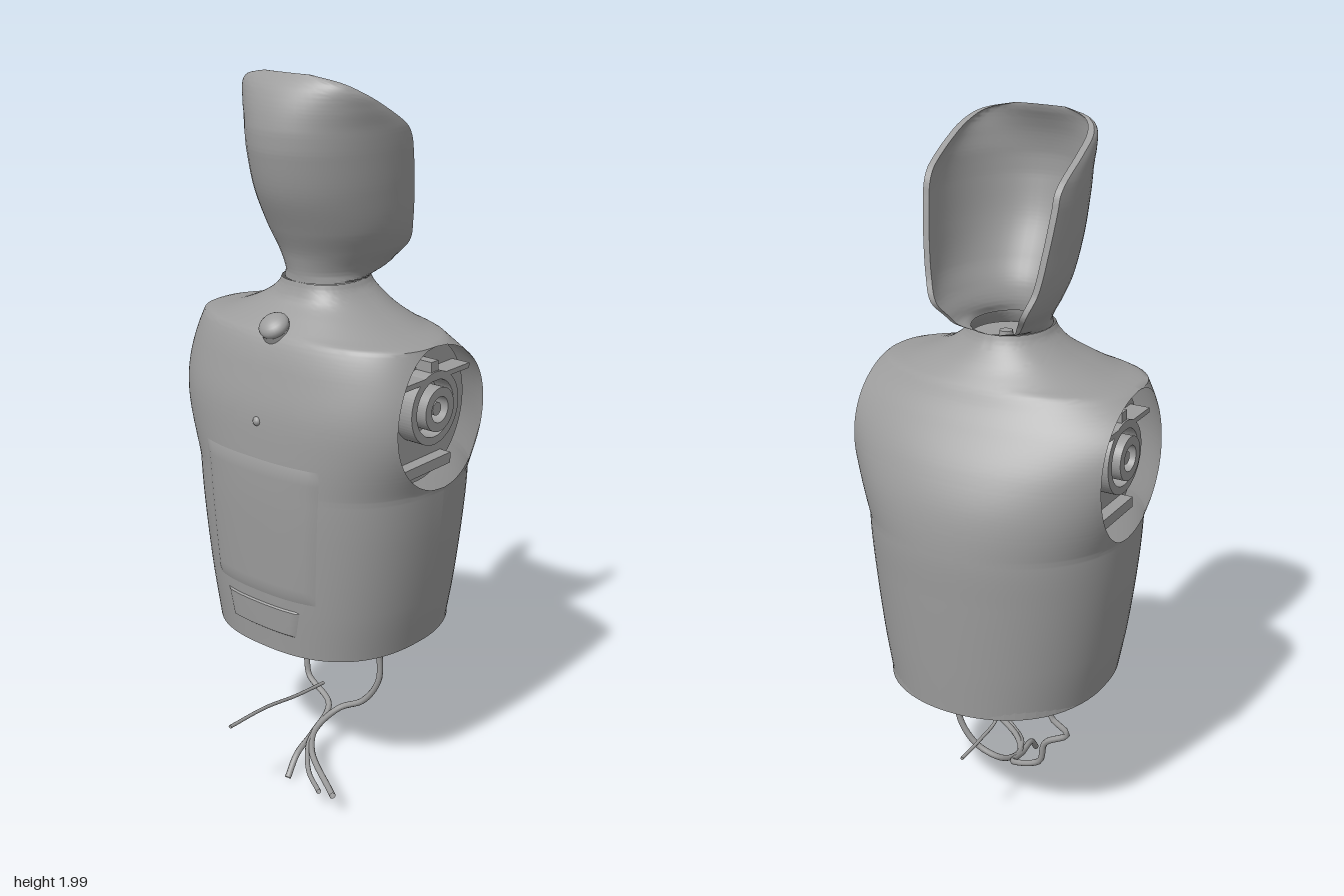
import * as THREE from 'three';
import { toCreasedNormals } from 'three/addons/utils/BufferGeometryUtils.js';

const shellGrey = new THREE.MeshStandardMaterial({ color: 0x9c9c9c, side: THREE.DoubleSide });
shellGrey.name = 'shellGrey';

// Smooth interpolation through a list of [y, ...values] rows
function rowAt(rows, y) {
  let i = 0;
  while (i < rows.length - 2 && y > rows[i + 1][0]) i++;
  const p1 = rows[i], p2 = rows[i + 1];
  const p0 = rows[Math.max(i - 1, 0)], p3 = rows[Math.min(i + 2, rows.length - 1)];
  const d = p2[0] - p1[0], t = (y - p1[0]) / d;
  return p1.map((_, k) => {
    const m1 = (p2[k] - p0[k]) / (p2[0] - p0[0]) * d;
    const m2 = (p3[k] - p1[k]) / (p3[0] - p1[0]) * d;
    const t2 = t * t, t3 = t2 * t;
    return (2 * t3 - 3 * t2 + 1) * p1[k] + (t3 - 2 * t2 + t) * m1 + (3 * t2 - 2 * t3) * p2[k] + (t3 - t2) * m2;
  });
}

// Surface from a grid rule: point(u, v) with u, v in 0..1
function surface(nu, nv, point, crease = 0.7) {
  const g = new THREE.PlaneGeometry(1, 1, nu, nv);
  const p = g.attributes.position;
  for (let j = 0, k = 0; j <= nv; j++) {
    for (let i = 0; i <= nu; i++, k++) p.setXYZ(k, ...point(i / nu, j / nv));
  }
  return toCreasedNormals(g, crease);
}

// Torso rows: y, back x, front x, half depth
const TORSO = [
  [0.46, -0.25, 0.37, 0.31], [0.6, -0.26, 0.378, 0.336], [0.8, -0.27, 0.387, 0.362],
  [0.935, -0.274, 0.39, 0.372], [1.05, -0.271, 0.375, 0.372], [1.15, -0.262, 0.335, 0.372],
  [1.25, -0.238, 0.272, 0.372], [1.3, -0.222, 0.238, 0.372], [1.335, -0.205, 0.217, 0.372],
  [1.35, -0.19, 0.205, 0.295], [1.38, -0.155, 0.178, 0.215],
  [1.41, -0.12, 0.158, 0.16], [1.44, -0.105, 0.142, 0.122], [1.46, -0.1, 0.135, 0.11],
];
const ARM_CUT = 0.372;
const HOLE = { x: 0.04, y: 1.135, w: 0.183, h: 0.2 };
const FRONT_POWER = 2.1, BACK_POWER = 2.5;

// Centre, reach and half depth of one side of the torso at a height;
// beside the arm holes the depth grows so that the cut leaves an oval opening
function torsoRow(y, side) {
  const [, back, front, h] = rowAt(TORSO, y);
  const c = (back + front) / 2, a = (front - back) / 2;
  const n = side > 0 ? FRONT_POWER : BACK_POWER;
  const s = Math.sqrt(Math.max(0, 1 - ((y - HOLE.y) / HOLE.h) ** 2));
  if (s === 0) return { c, a, n, h };
  const reach = Math.max(0, side * (HOLE.x - c) * s + HOLE.w * s) / a;
  return { c, a, n, h: ARM_CUT / Math.pow(1 - Math.pow(reach, n), 1 / n) };
}

function torsoX(y, z, side) {
  const { c, a, n, h } = torsoRow(y, side);
  const r = Math.min(Math.abs(z) / h, 1);
  return c + side * a * Math.pow(1 - Math.pow(r, n), 1 / n);
}

// Front or back half of the torso; the halves part at the arm holes
function torsoHalf(side) {
  return surface(44, 200, (u, v) => {
    const y = 0.46 + v;
    const z = -Math.min(torsoRow(y, side).h, ARM_CUT) * Math.cos(u * Math.PI);
    return [torsoX(y, z, side), y, z];
  }, 0.9);
}

// Head rows: y, back x, x of the face opening, half width, opening angle, wall thickness
const HEAD = [
  [1.46, -0.1, 0.135, 0.11, 3.14, 0.01], [1.475, -0.1, 0.148, 0.116, 2.3, 0.012],
  [1.5, -0.104, 0.165, 0.13, 2.1, 0.016], [1.54, -0.115, 0.19, 0.157, 2.05, 0.019],
  [1.6, -0.143, 0.172, 0.18, 2.0, 0.019], [1.7, -0.188, 0.152, 0.195, 1.95, 0.019],
  [1.8, -0.21, 0.13, 0.204, 1.9, 0.019], [1.84, -0.212, 0.118, 0.206, 1.9, 0.019],
  [1.87, -0.21, 0.09, 0.206, 1.85, 0.019], [1.92, -0.197, 0.005, 0.202, 1.75, 0.019],
  [1.96, -0.178, -0.07, 0.188, 1.62, 0.018], [1.985, -0.158, -0.112, 0.15, 1.57, 0.012],
  [2.0, -0.143, -0.137, 0.075, 1.57, 0.002],
];

// Hollow head, open at the face and crown: outer wall, rim, inner wall
function headShell() {
  const half = 30;
  return surface(2 * half + 2, 100, (u, v) => {
    const y = 1.46 + 0.54 * v;
    const [, back, cut, h, angle, wall] = rowAt(HEAD, y);
    const k = Math.round(u * (2 * half + 2));
    const inner = k > half && k < 2 * half + 2;
    const s = k === 2 * half + 2 ? -1 : inner ? 1 - 2 * (k - half - 1) / half : -1 + 2 * k / half;
    const inset = inner ? wall : 0, t = s * angle;
    const a = (cut - back - inset) / (1 - Math.cos(angle));
    return [back + inset + a * (1 - Math.cos(t)), y, (h - inset) * Math.sin(t)];
  });
}

// Rounded outline in the plane
function outline(cx, cy, a, b, power = 2) {
  const pts = [];
  for (let i = 0; i < 64; i++) {
    const t = i / 64 * Math.PI * 2, c = Math.cos(t), s = Math.sin(t);
    pts.push(new THREE.Vector2(
      cx + a * Math.sign(c) * Math.pow(Math.abs(c), 2 / power),
      cy + b * Math.sign(s) * Math.pow(Math.abs(s), 2 / power)));
  }
  return pts;
}

function plate(points, depth, hole) {
  const s = new THREE.Shape(points);
  if (hole) s.holes.push(new THREE.Path(hole));
  return new THREE.ExtrudeGeometry(s, { depth, bevelEnabled: false });
}

export function createModel() {
  const model = new THREE.Group();
  const add = (name, geometry, parent = model) => {
    const m = new THREE.Mesh(geometry, shellGrey);
    m.name = name;
    parent.add(m);
    return m;
  };

  add('chest', torsoHalf(1));
  add('back', torsoHalf(-1));
  add('head', headShell());
  add('neckFloor', new THREE.CylinderGeometry(0.105, 0.105, 0.01, 40)).position.set(0.022, 1.425, 0);
  add('neckScrew', new THREE.CylinderGeometry(0.018, 0.022, 0.02, 8)).position.set(0.045, 1.437, 0);

  // Thin cover plates on the back
  const backPlate = (name, y0, y1, w) => add(name, surface(24, 20, (u, v) => {
    const edge = u === 0 || u === 1 || v === 0 || v === 1;
    const y = y0 + (y1 - y0) * v;
    const z = (u * 2 - 1) * w * (0.88 + 0.12 * v);
    return [torsoX(y, z, -1) - (edge ? 0 : 0.005), y, z];
  }));
  backPlate('backHatch', 0.63, 1.02, 0.2);
  backPlate('lowerHatch', 0.52, 0.6, 0.13);

  // Knob on the upper back
  const knob = new THREE.Group();
  knob.name = 'backKnob';
  knob.position.set(-0.175, 1.335, 0);
  knob.rotation.z = 0.6;
  add('knobStem', new THREE.CylinderGeometry(0.038, 0.048, 0.06, 24), knob);
  const cap = add('knobCap', new THREE.SphereGeometry(0.042, 24, 12), knob);
  cap.position.y = 0.034;
  cap.scale.y = 0.6;
  model.add(knob);
  add('backButton', new THREE.SphereGeometry(0.013, 12, 8)).position.set(-0.262, 1.12, 0);

  // Recessed arm sockets, mirrored
  for (const side of [1, -1]) {
    const socket = new THREE.Group();
    socket.name = side > 0 ? 'leftSocket' : 'rightSocket';
    socket.scale.z = side;
    add('socketWall', plate(outline(0.04, 1.135, 0.195, 0.198), 0.01), socket).position.z = 0.285;
    add('socketShelf', new THREE.BoxGeometry(0.29, 0.014, 0.06), socket).position.set(0.04, 1.238, 0.32);
    add('socketLedge', new THREE.BoxGeometry(0.2, 0.03, 0.04), socket).position.set(0.04, 0.985, 0.31);
    add('socketRing', plate(outline(0.04, 1.155, 0.1, 0.1), 0.055, outline(0.04, 1.155, 0.078, 0.078)), socket).position.z = 0.295;
    add('socketHub', plate(outline(0.04, 1.155, 0.06, 0.06), 0.07, outline(0.04, 1.155, 0.035, 0.035)), socket).position.z = 0.295;
    add('socketPin', plate(outline(0.04, 1.155, 0.018, 0.018), 0.06), socket).position.z = 0.295;
    add('socketTab', new THREE.BoxGeometry(0.03, 0.04, 0.05), socket).position.set(0.04, 1.262, 0.32);
    model.add(socket);
  }

  // Underside: rim, recessed floor with blocks, and the central mount
  const rim = add('baseRim', plate(outline(0.06, 0, 0.308, 0.308, 2.2), 0.03, outline(0.06, 0, 0.287, 0.287, 2.2)));
  rim.rotation.x = Math.PI / 2;
  rim.position.y = 0.49;
  const floor = add('baseFloor', plate(outline(0.06, 0, 0.305, 0.305, 2.2), 0.01));
  floor.rotation.x = Math.PI / 2;
  floor.position.y = 0.56;
  for (let i = 0; i < 8; i++) {
    const a = (i + 0.5) / 8 * Math.PI * 2;
    const block = add('baseBlock', new THREE.BoxGeometry(0.1, 0.05, 0.06 + 0.03 * (i % 2)));
    block.position.set(0.06 + 0.2 * Math.cos(a), 0.53, 0.2 * Math.sin(a));
    block.rotation.y = -a;
  }
  const mountProfile = [[0.05, 0.55], [0.085, 0.55], [0.085, 0.45], [0.105, 0.45], [0.105, 0.4], [0.07, 0.4], [0.07, 0.43], [0, 0.43]];
  add('centralMount', toCreasedNormals(new THREE.LatheGeometry(mountProfile.map(p => new THREE.Vector2(...p)), 40), 0.5)).position.x = 0.06;
  add('mountHub', new THREE.CylinderGeometry(0.035, 0.035, 0.04, 24)).position.set(0.06, 0.42, 0);
  for (const z of [-0.09, 0.09]) add('mountTab', new THREE.BoxGeometry(0.07, 0.05, 0.025)).position.set(0.1, 0.4, z);

  // Loose cables
  const cable = (name, r, pts) => add(name, new THREE.TubeGeometry(
    new THREE.CatmullRomCurve3(pts.map(p => new THREE.Vector3(...p))), 60, r, 8));
  cable('leftCable', 0.009, [[0.04, 0.52, 0.23], [0.045, 0.43, 0.23], [0.06, 0.4, 0.2], [0.09, 0.36, 0.14], [0.095, 0.25, 0.13],
    [0.085, 0.17, 0.08], [0.06, 0.13, 0.01], [-0.03, 0.1, 0], [-0.12, 0.09, 0.06], [-0.25, 0.083, 0.25]]);
  cable('rightCable', 0.009, [[0.04, 0.52, -0.12], [0.045, 0.44, -0.13], [0.07, 0.41, -0.21], [0.095, 0.35, -0.17], [0.09, 0.3, -0.22],
    [0.09, 0.25, -0.15], [0.085, 0.18, -0.13], [0.06, 0.13, -0.03], [-0.05, 0.09, 0], [-0.14, 0.07, 0.02], [-0.19, 0.02, 0.03]]);
  cable('sideCable', 0.007, [[-0.03, 0.1, 0], [-0.1, 0.092, 0.03], [-0.18, 0.07, 0.1], [-0.25, 0.075, 0.2]]);
  cable('rearCable', 0.005, [[-0.39, 0.265, 0], [-0.25, 0.263, 0], [-0.12, 0.245, 0], [0, 0.236, 0]]);
  cable('frontCable', 0.005, [[0.09, 0.42, 0], [0.085, 0.34, 0], [0.11, 0.29, 0], [0.2, 0.275, 0], [0.3, 0.27, 0]]);

  return model;
}
